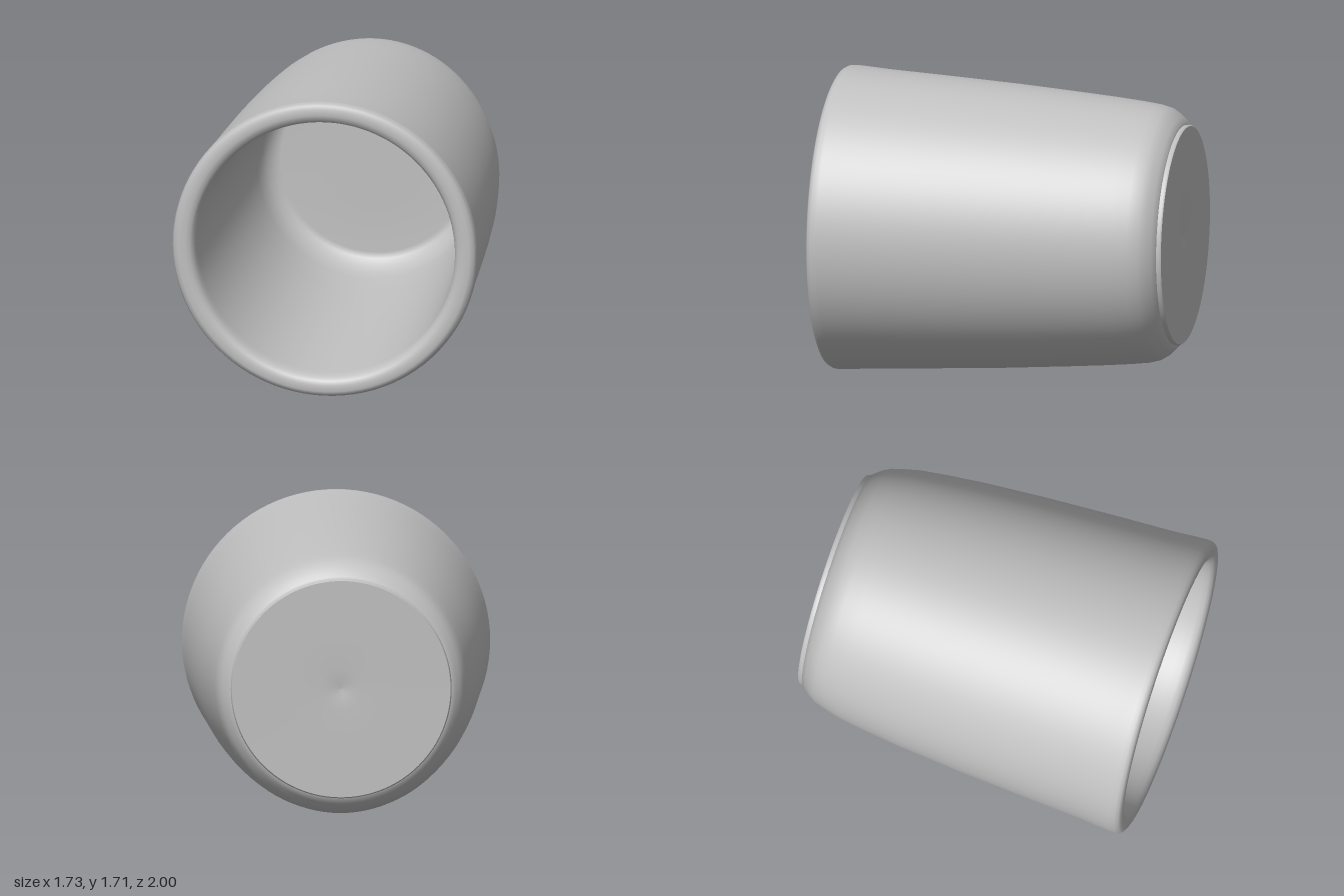
import * as THREE from 'three';

const CENTRE_Y = 0.86;

// Revolves [radius, z, widthFactor] rows about the z axis; widthFactor makes a row slightly oval
function revolve(name, rows, material) {
  const points = rows.map(([r, z]) => new THREE.Vector2(r, z));
  const geometry = new THREE.LatheGeometry(points, 96);
  const pos = geometry.attributes.position;
  for (let i = 0; i < pos.count; i++) {
    pos.setX(i, pos.getX(i) * (rows[i % rows.length][2] ?? 1));
  }
  geometry.rotateX(Math.PI / 2);
  const mesh = new THREE.Mesh(geometry, material);
  mesh.name = name;
  mesh.position.y = CENTRE_Y;
  return mesh;
}

export function createModel() {
  const group = new THREE.Group();
  group.name = 'cup';
  const grey = new THREE.MeshStandardMaterial({ color: 0xc0c0c0 });
  grey.name = 'plain grey';

  // Tapered outer wall with a rounded shoulder at the closed end
  group.add(revolve('outerWall', [
    [0.61, -0.975], [0.635, -0.972, 0.99], [0.66, -0.95, 0.98], [0.69, -0.92, 0.97],
    [0.715, -0.88, 0.965], [0.73, -0.82, 0.97], [0.742, -0.72, 0.99], [0.757, -0.56, 1.0],
    [0.773, -0.36, 1.01], [0.8, 0, 1.012], [0.824, 0.4, 1.012], [0.843, 0.75, 1.01],
    [0.853, 0.88, 1.012], [0.857, 0.94, 1.012],
  ], grey));

  // Rounded rim around the mouth
  group.add(revolve('rim', [
    [0.857, 0.94, 1.012], [0.855, 0.97, 1.012], [0.845, 0.99, 1.01], [0.825, 1.0, 1.005],
    [0.79, 1.0], [0.765, 0.992], [0.748, 0.975], [0.738, 0.945], [0.735, 0.9],
  ], grey));

  // Hollow interior, curving into a flat floor
  group.add(revolve('interior', [
    [0.735, 0.9], [0.715, 0.5], [0.69, 0], [0.66, -0.5], [0.64, -0.7],
    [0.625, -0.77], [0.6, -0.82], [0.565, -0.85], [0.53, -0.86], [0.3, -0.86], [0, -0.86],
  ], grey));

  // Thin raised disc closing the back, with a shallow dimple in the middle
  group.add(revolve('baseDisc', [
    [0, -0.985], [0.05, -0.99], [0.12, -0.997], [0.3, -0.998], [0.615, -1.0],
  ], grey));
  group.add(revolve('baseDiscEdge', [[0.615, -1.0], [0.622, -0.99], [0.62, -0.97]], grey));

  return group;
}
